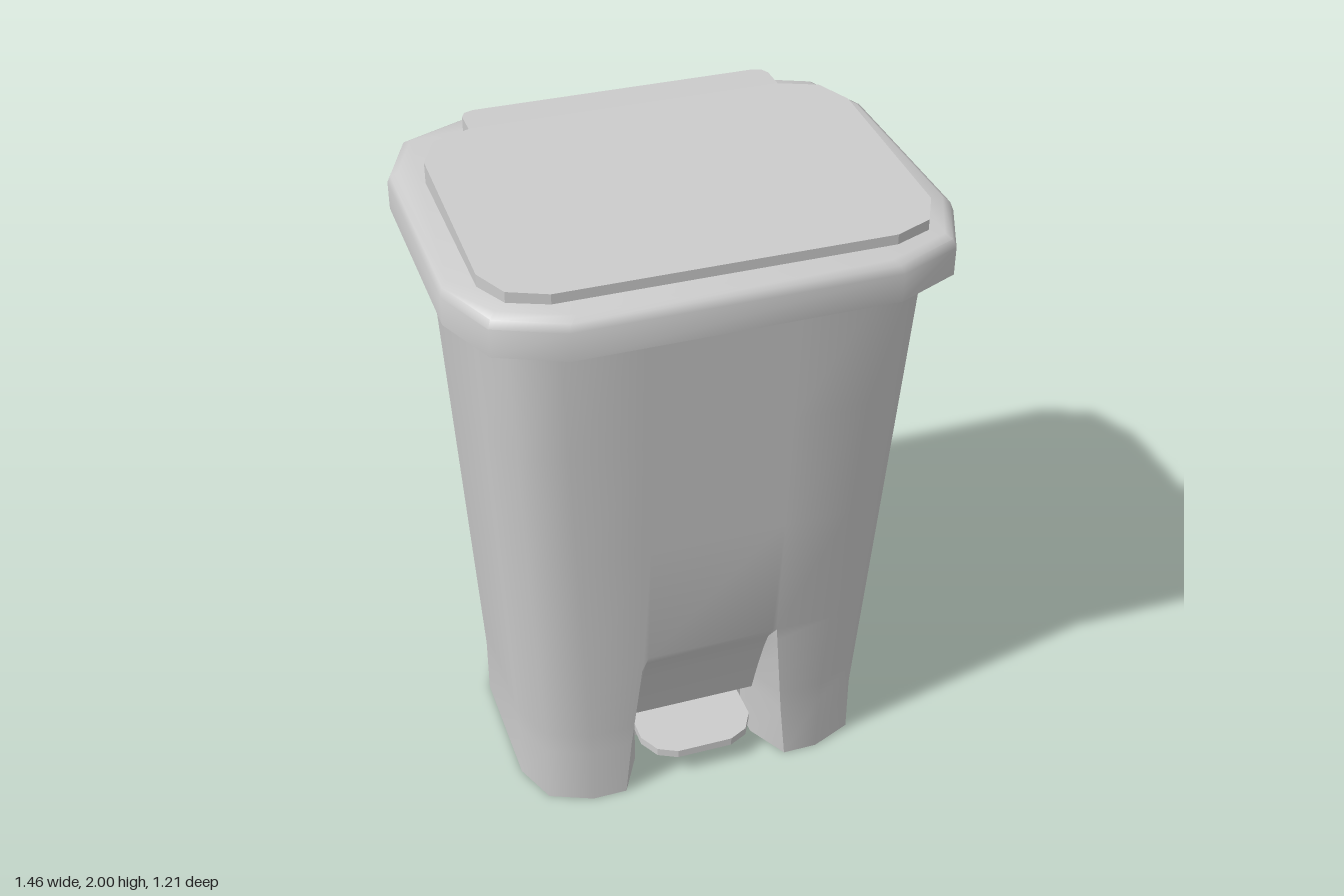
import * as THREE from 'three';
import { toCreasedNormals } from 'three/addons/utils/BufferGeometryUtils.js';

const material = new THREE.MeshStandardMaterial({ color: 0xcccccc });
const lerp = THREE.MathUtils.lerp;

// Skin over horizontal rings { y, pts: [[x, z], ...] }, running front -> +x -> back
function loft(rings, capBottom, capTop) {
  const n = rings[0].pts.length, pos = [], idx = [];
  rings.forEach(r => r.pts.forEach(([x, z]) => pos.push(x, r.y, z)));
  for (let i = 0; i < rings.length - 1; i++) {
    for (let j = 0; j < n; j++) {
      const a = i * n + j, b = i * n + (j + 1) % n;
      idx.push(a, b, b + n, a, b + n, a + n);
    }
  }
  const cap = (i, up) => {
    const p = rings[i].pts.map(([x, z]) => new THREE.Vector2(x, z));
    for (const [a, b, c] of THREE.ShapeUtils.triangulateShape(p, [])) {
      const cross = p[b].clone().sub(p[a]).cross(p[c].clone().sub(p[a]));
      const o = i * n;
      if ((cross < 0) === up) idx.push(o + a, o + b, o + c);
      else idx.push(o + a, o + c, o + b);
    }
  };
  if (capBottom) cap(0, false);
  if (capTop) cap(rings.length - 1, true);
  const g = new THREE.BufferGeometry();
  g.setAttribute('position', new THREE.Float32BufferAttribute(pos, 3));
  g.setIndex(idx);
  return toCreasedNormals(g, 0.82);
}

// Mirror one front-left corner (front to side) into a full outline
function outline(corner, inset = 0) {
  const c = corner.map(([x, z]) => [x - inset, z - inset]);
  const r = [...c].reverse();
  return [
    ...c,
    ...r.map(([x, z]) => [x, -z]),
    ...c.map(([x, z]) => [-x, -z]),
    ...r.map(([x, z]) => [-x, z]),
  ];
}

// Flat plate cut from an x/z outline, with its top at y
function plate(half, thickness, y) {
  const pts = [...half, ...half.map(([x, z]) => [-x, z]).reverse()];
  const shape = new THREE.Shape(pts.map(([x, z]) => new THREE.Vector2(x, z)));
  const g = new THREE.ExtrudeGeometry(shape, { depth: thickness, bevelEnabled: false });
  return g.rotateX(Math.PI / 2).translate(0, y, 0);
}

// Tapered body with the pedal recess shaped into its front
function bodyGeometry() {
  const low = [[0.38, 0.40], [0.51, 0.345], [0.565, 0.21]];
  const high = [[0.46, 0.51], [0.59, 0.45], [0.645, 0.30]];
  const ring = (y, cavity = false) => {
    const t = Math.max(0, (y - 0.2) / 1.61);
    const corner = low.map(([x, z], i) => [lerp(x, high[i][0], t), lerp(z, high[i][1], t)]);
    const front = corner[0][1];
    const s = THREE.MathUtils.clamp((0.57 - y) / 0.37, 0, 1);
    const wide = lerp(0.215, 0.27, Math.max(0, 1 - y / 0.57) );
    const mid = front - 0.13 * Math.pow(s, 0.75);
    const back = cavity ? 0.17 : mid;
    return {
      y,
      pts: [
        [-wide, front], [-0.2, mid], [-0.2, back],
        [0.2, back], [0.2, mid], [wide, front],
        ...outline(corner),
      ],
    };
  };
  const rings = [ring(0, true), ring(0.2, true)];
  for (const y of [0.2, 0.28, 0.36, 0.44, 0.52, 0.57, 1.0, 1.4, 1.82]) rings.push(ring(y));
  return loft(rings, true, false);
}

export function createModel() {
  const group = new THREE.Group();
  const add = (name, geometry) => {
    const mesh = new THREE.Mesh(geometry, material);
    mesh.name = name;
    group.add(mesh);
  };

  add('body', bodyGeometry());

  // Overhanging rim with a softened top edge
  const rim = [[0.46, 0.605], [0.65, 0.52], [0.73, 0.33]];
  const profile = [[1.81, 0], [1.895, 0], [1.918, 0.008], [1.93, 0.025]];
  add('rim', loft(profile.map(([y, inset]) => ({ y, pts: outline(rim, inset) })), true, true));

  // Lid panel, rising toward the hinge tab at the back
  const lid = plate([
    [0.48, 0.51], [0.59, 0.465], [0.64, 0.365], [0.64, -0.225], [0.59, -0.33],
    [0.475, -0.375], [0.475, -0.455], [0.463, -0.48], [0.435, -0.49],
  ], 0.1, 2);
  const p = lid.attributes.position;
  for (let i = 0; i < p.count; i++) {
    const rise = THREE.MathUtils.clamp((0.51 - p.getZ(i)) / 0.87, 0, 1);
    p.setY(i, p.getY(i) > 1.95 ? lerp(1.96, 2, rise) : 1.92);
  }
  lid.computeVertexNormals();
  add('lid', lid);

  // Foot pedal reaching out of the recess
  add('pedal', plate([
    [0.09, 0.385], [0.15, 0.355], [0.185, 0.29], [0.185, 0.16],
  ], 0.027, 0.105));

  return group;
}
